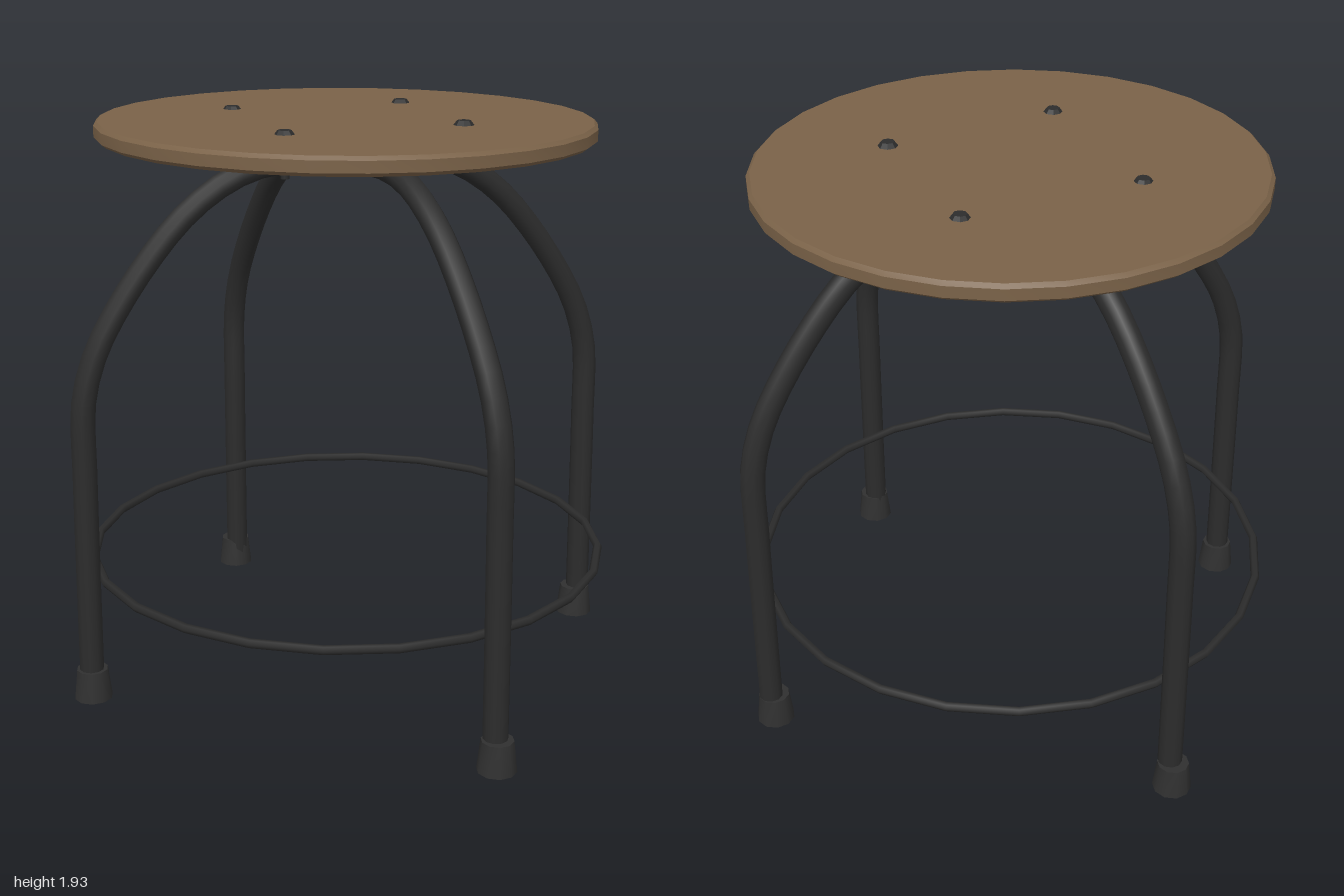
import * as THREE from 'three';
import { toCreasedNormals } from 'three/addons/utils/BufferGeometryUtils.js';

const paint = (name, color) => {
  const m = new THREE.MeshStandardMaterial({ color });
  m.name = name;
  return m;
};

export function createModel() {
  const wood = paint('brown wood', 0x7a6248);
  const metal = paint('dark metal', 0x2c2c2c);
  const rubber = paint('dark rubber', 0x303030);

  const stool = new THREE.Group();
  stool.name = 'stool';
  const add = (name, geometry, material, x = 0, y = 0, z = 0, parent = stool) => {
    const mesh = new THREE.Mesh(geometry, material);
    mesh.name = name;
    mesh.position.set(x, y, z);
    parent.add(mesh);
    return mesh;
  };

  // Round seat with a worn, softened rim and a very slight tilt
  const seatProfile = [[0, -0.03], [0.805, -0.03], [0.82, -0.018], [0.82, 0.018], [0.808, 0.03], [0, 0.03]]
    .map(([r, y]) => new THREE.Vector2(r, y));
  const seat = add('seat', toCreasedNormals(new THREE.LatheGeometry(seatProfile, 30), 0.6), wood, 0, 1.891, -0.015);
  seat.rotation.set(0.005, 0, -0.002);

  // Mounting plates under the seat; the square one has its corners at the bolts
  const plate = add('mountingPlate', new THREE.BoxGeometry(0.75, 0.02, 0.75), metal, 0, 1.837, -0.01);
  plate.rotation.y = THREE.MathUtils.degToRad(-21);
  add('swivelDisc', toCreasedNormals(new THREE.CylinderGeometry(0.41, 0.41, 0.014, 18), 0.6), metal, 0, 1.852, -0.01);

  // Bolts through the seat, with nuts below the plate
  const bolts = [[-0.17, -0.41], [0.39, -0.18], [-0.4, 0.165], [0.17, 0.36]];
  for (const [x, z] of bolts) {
    const bolt = new THREE.Group();
    bolt.name = 'bolt';
    bolt.position.set(x, 0, z);
    stool.add(bolt);
    add('boltHead', toCreasedNormals(new THREE.CylinderGeometry(0.022, 0.034, 0.016, 8), 0.6), metal, 0, 1.926, 0, bolt);
    add('boltShank', new THREE.CylinderGeometry(0.014, 0.014, 0.12, 8), metal, 0, 1.845, 0, bolt);
    add('boltNut', toCreasedNormals(new THREE.CylinderGeometry(0.026, 0.026, 0.02, 6), 0.6), metal, 0, 1.818, 0, bolt);
  }

  // Two bent tubes cross under the seat, each making a pair of legs
  const legProfile = [
    [0.938, 0.05], [0.934, 0.4], [0.928, 0.8], [0.922, 1.04], [0.893, 1.16], [0.845, 1.27],
    [0.705, 1.48], [0.555, 1.645], [0.405, 1.745], [0.28, 1.785], [0.12, 1.79],
  ];
  const halfLeg = ([x, z]) => {
    const length = Math.hypot(x, z);
    return legProfile.map(([r, y]) => new THREE.Vector3(x / length * r, y, z / length * r));
  };
  const legPairs = [
    { name: 'sideLegs', ends: [[0.88, 0.29], [-0.885, -0.305]] },
    { name: 'frontBackLegs', ends: [[-0.19, 0.93], [0.19, -0.935]] },
  ];
  for (const { name, ends } of legPairs) {
    const path = new THREE.CatmullRomCurve3([...halfLeg(ends[0]), ...halfLeg(ends[1]).reverse()]);
    add(name, new THREE.TubeGeometry(path, 60, 0.041, 10), metal);
    // Flared rubber feet
    for (const [x, z] of ends) {
      const foot = toCreasedNormals(new THREE.CylinderGeometry(0.053, 0.065, 0.105, 10), 0.7);
      add('foot', foot, rubber, x, 0.0575, z);
    }
  }

  // Thin foot ring joining the legs
  const ring = new THREE.TorusGeometry(0.882, 0.015, 6, 24);
  ring.rotateX(Math.PI / 2);
  add('footRing', ring, metal, -0.003, 0.436, -0.012);

  return stool;
}
